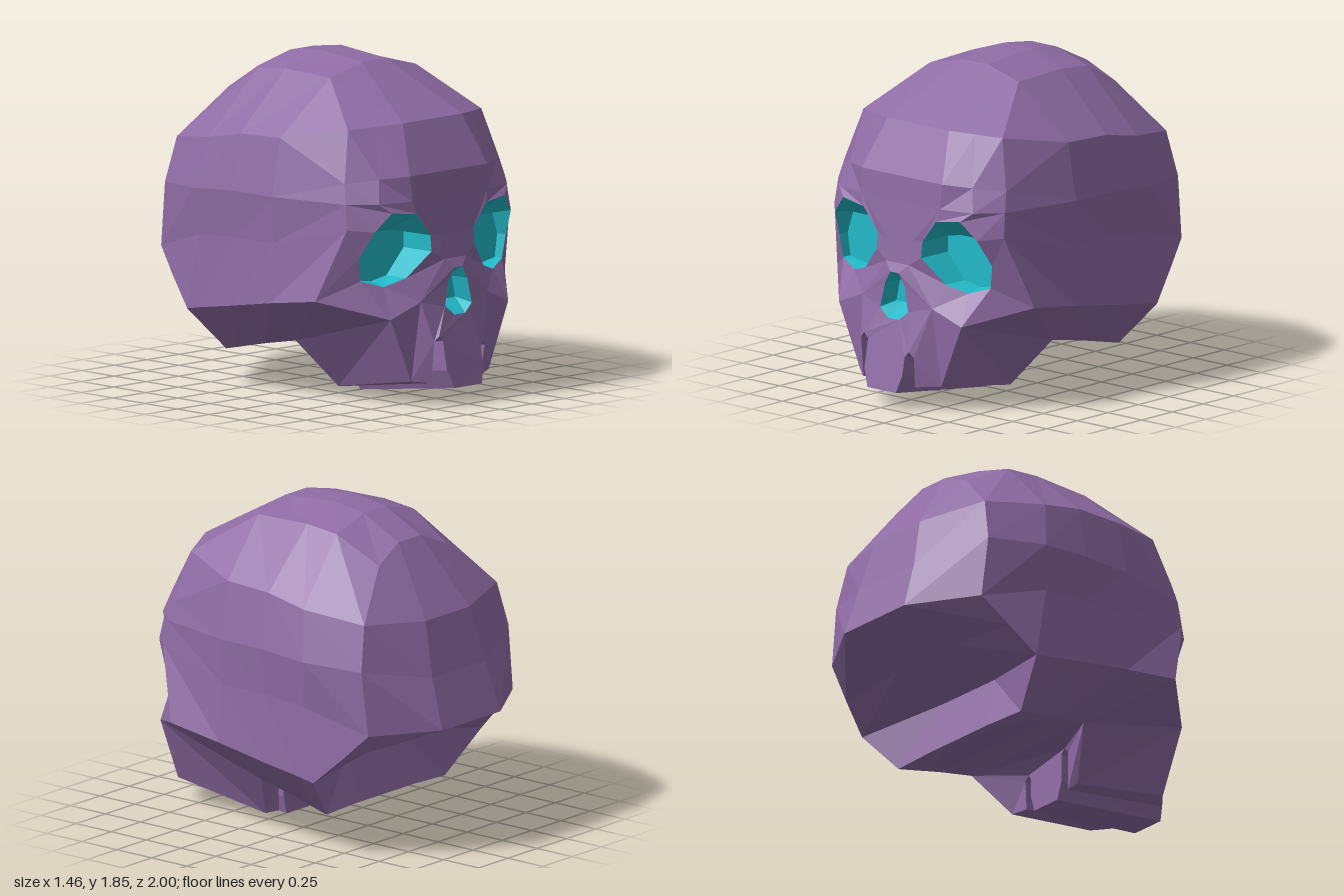
import * as THREE from 'three';

const bone = new THREE.MeshStandardMaterial({ color: 0x8f6ca5, flatShading: true, side: THREE.DoubleSide });
const teal = new THREE.MeshStandardMaterial({ color: 0x22bac9, flatShading: true, side: THREE.DoubleSide });

// Left side to right side; the midline sits a little off centre
const flip = ([x, y, z]) => [-x + 0.04 * Math.max(0, 1 - x / 0.73), y, z];
const mirror = tris => tris.map(t => t.map(flip).reverse());
const pair = p => [flip(p), p];

// Triangles between two rows of points
function strip(a, b) {
  const tris = [];
  for (let i = 0; i < Math.min(a.length, b.length) - 1; i++) {
    tris.push([a[i], a[i + 1], b[i + 1]], [a[i], b[i + 1], b[i]]);
  }
  return tris;
}

const loft = rows => rows.slice(1).flatMap((row, i) => strip(rows[i], row));

// Half rows (centre outwards) lofted, mirrored and joined across the middle
function symmetric(rows) {
  const half = loft(rows);
  return [...half, ...mirror(half), ...loft(rows.map(row => pair(row[0])))];
}

// Fills an outline seen along z; facing is +1 for front, -1 for back
function patch(outline, facing = 1) {
  const flat = outline.map(p => new THREE.Vector2(p[0], p[1]));
  return THREE.ShapeUtils.triangulateShape(flat, []).map(ids => {
    const [a, b, c] = ids.map(i => outline[i]);
    const area = (b[0] - a[0]) * (c[1] - a[1]) - (b[1] - a[1]) * (c[0] - a[0]);
    return area * facing > 0 ? [a, b, c] : [a, c, b];
  });
}

function makeMesh(name, tris, material) {
  const corners = tris.map(t => t.map(p => new THREE.Vector3(...p)));
  const solid = corners.filter(t => new THREE.Triangle(...t).getArea() > 1e-6);
  const geometry = new THREE.BufferGeometry().setFromPoints(solid.flat());
  geometry.computeVertexNormals();
  const mesh = new THREE.Mesh(geometry, material);
  mesh.name = name;
  return mesh;
}

const closed = ring => [...ring, ring[0]];

// A cavity running from its rim (clockwise from the front) to a smaller flat back
function cavity(name, rim, depthZ, inset, low, high) {
  const midX = rim.reduce((sum, p) => sum + p[0], 0) / rim.length;
  const back = rim.map(([x, y]) => [
    midX + (x - midX) * inset, THREE.MathUtils.clamp(y, low, high), depthZ]);
  return makeMesh(name, [...strip(closed(back), closed(rim)), ...patch(back)], teal);
}

export function createModel() {
  const group = new THREE.Group();

  // Cranium: arched sections from the temples to the back, crown first
  const arches = [
    [[0.24, 1.55, 0.71], [0.52, 1.53, 0.58], [0.6, 1.25, 0.64], [0.62, 1.14, 0.67],
      [0.63, 1.0, 0.69], [0.73, 0.6, 0.55], [0.46, 0.5, 0.85], [0.31, 0.14, 0.85]],
    [[0.11, 1.82, 0.25], [0.34, 1.76, 0.25], [0.66, 1.46, 0.2], [0.72, 1.14, 0.2],
      [0.71, 0.88, 0.2], [0.73, 0.55, 0.2], [0.47, 0.3, 0.12], [0.279, 0.04, 0.25]],
    [[0.11, 1.85, -0.1], [0.34, 1.77, -0.1], [0.67, 1.45, -0.1], [0.73, 1.14, -0.1],
      [0.71, 0.88, -0.1], [0.73, 0.5, -0.1], [0.485, 0.26, -0.1]],
    [[0.11, 1.82, -0.31], [0.34, 1.75, -0.31], [0.67, 1.4, -0.35], [0.73, 1.12, -0.4],
      [0.71, 0.86, -0.38], [0.72, 0.46, -0.35], [0.505, 0.215, -0.31]],
    [[0.11, 1.7, -0.56], [0.3, 1.61, -0.58], [0.57, 1.35, -0.7], [0.63, 1.1, -0.73],
      [0.62, 0.74, -0.77], [0.72, 0.44, -0.46], [0.51, 0.2, -0.38]],
    [[0.2, 1.32, -0.83], [0.2, 1.32, -0.83], [0.2, 1.32, -0.83], [0.24, 1.02, -0.91],
      [0.26, 0.74, -1]],
  ];
  const occiput = loft(arches[5].slice(2).map(pair));
  group.add(makeMesh('cranium', [...symmetric(arches), ...occiput], bone));

  // Forehead rows, from brow to crown
  const brow = [[0.3, 1.14, 0.85], [0.5, 1.14, 0.8], [0.62, 1.14, 0.67]];
  const forehead = [
    brow,
    [[0.31, 1.28, 0.84], [0.46, 1.27, 0.76], [0.6, 1.25, 0.64]],
    [[0.24, 1.55, 0.71], [0.38, 1.54, 0.645], [0.52, 1.53, 0.58]],
  ];
  group.add(makeMesh('forehead', symmetric(forehead), bone));

  // Underside of the cranium from back to front: nape, hollow, back wall and floor
  const nape = [[[0.62, 0.74, -0.77], [0.67, 0.59, -0.62], [0.26, 0.74, -1]]];
  const floor = [
    [[0.26, 0.74, -1], [0.26, 0.74, -1]],
    [[0.25, 0.62, -0.62], [0.67, 0.59, -0.62]],
    [[0.22, 0.52, -0.3], [0.72, 0.44, -0.46]],
    [[0.25, 0.21, -0.38], [0.51, 0.2, -0.38]],
    [[0.25, 0.225, -0.31], [0.505, 0.215, -0.31]],
    [[0.25, 0.26, -0.1], [0.485, 0.26, -0.1]],
    [[0.25, 0.3, 0.12], [0.47, 0.3, 0.12]],
  ];
  group.add(makeMesh('skullBase', [...symmetric(floor), ...nape, ...mirror(nape)], bone));

  // Lower edge of the upper jaw: three teeth parted by two slots, run back along z
  const teeth = [
    flip([0.31, 0.14, 0.85]), [-0.2, 0.13, 0.92], [-0.2, 0.36, 0.94], [-0.17, 0.39, 0.95],
    [-0.14, 0.36, 0.95], [-0.14, 0.2, 0.98], [-0.1, 0.1, 1], [0.11, 0.1, 1], [0.14, 0.2, 0.98],
    [0.14, 0.3, 0.96], [0.16, 0.33, 0.95], [0.19, 0.3, 0.94], [0.18, 0.13, 0.92], [0.31, 0.14, 0.85],
  ];
  const teethBack = teeth.map(([x, y]) => [x * 0.9, y - 0.1, 0.25]);
  const jawCorner = [0.47, 0.3, 0.12];
  const jawBack = [flip(jawCorner), ...teethBack, jawCorner];
  group.add(makeMesh('teeth', [...strip(teethBack, teeth), ...patch(jawBack, -1)], bone));

  // Eye rim, and the bridge, brow and cheek points that surround it in the same order
  const leftEye = [
    [0.18, 0.94, 0.86], [0.28, 1.07, 0.86], [0.44, 1.09, 0.84], [0.53, 0.99, 0.8], [0.57, 0.84, 0.72],
    [0.55, 0.71, 0.71], [0.43, 0.67, 0.76], [0.31, 0.71, 0.81], [0.18, 0.85, 0.87],
  ];
  const bridgeTop = [0.11, 0.93, 0.87], bridgeLow = [0.1, 0.8, 0.885];
  const cheekBone = [0.46, 0.5, 0.85], cheekInner = [0.27, 0.58, 0.88];
  const aroundEye = [bridgeTop, ...brow, [0.63, 1, 0.69], [0.73, 0.6, 0.55],
    cheekBone, cheekInner, bridgeLow];

  // Nose opening, left half from top to bottom
  const nose = [[0.05, 0.75, 0.91], [0.09, 0.68, 0.905], [0.12, 0.54, 0.91], [0.06, 0.49, 0.92]];

  // Face: eye surrounds, nose bridge, sides of the nose and upper jaw
  const side = [
    ...strip(closed(leftEye), closed(aroundEye)),
    ...strip(nose.slice(0, 3), [bridgeLow, cheekInner, cheekInner]),
  ];
  const bridge = loft([nose[0], bridgeLow, bridgeTop, brow[0]].map(pair));
  const cheek = [cheekBone, cheekInner, nose[2], nose[3]];
  const upperJaw = [
    ...patch([...teeth.slice(10), ...cheek]),
    ...patch([...teeth.slice(3, 11), nose[3], flip(nose[3])]),
    ...patch([...teeth.slice(0, 4), ...cheek.map(flip).reverse()]),
  ];
  group.add(makeMesh('face', [...side, ...mirror(side), ...bridge, ...upperJaw], bone));

  group.add(cavity('leftEyeSocket', leftEye, 0.66, 0.96, 0.69, 0.96));
  group.add(cavity('rightEyeSocket', leftEye.map(flip).reverse(), 0.66, 0.96, 0.69, 0.96));
  group.add(cavity('noseCavity', [...nose, ...nose.map(flip).reverse()], 0.8, 0.8, 0.56, 0.69));

  return group;
}
